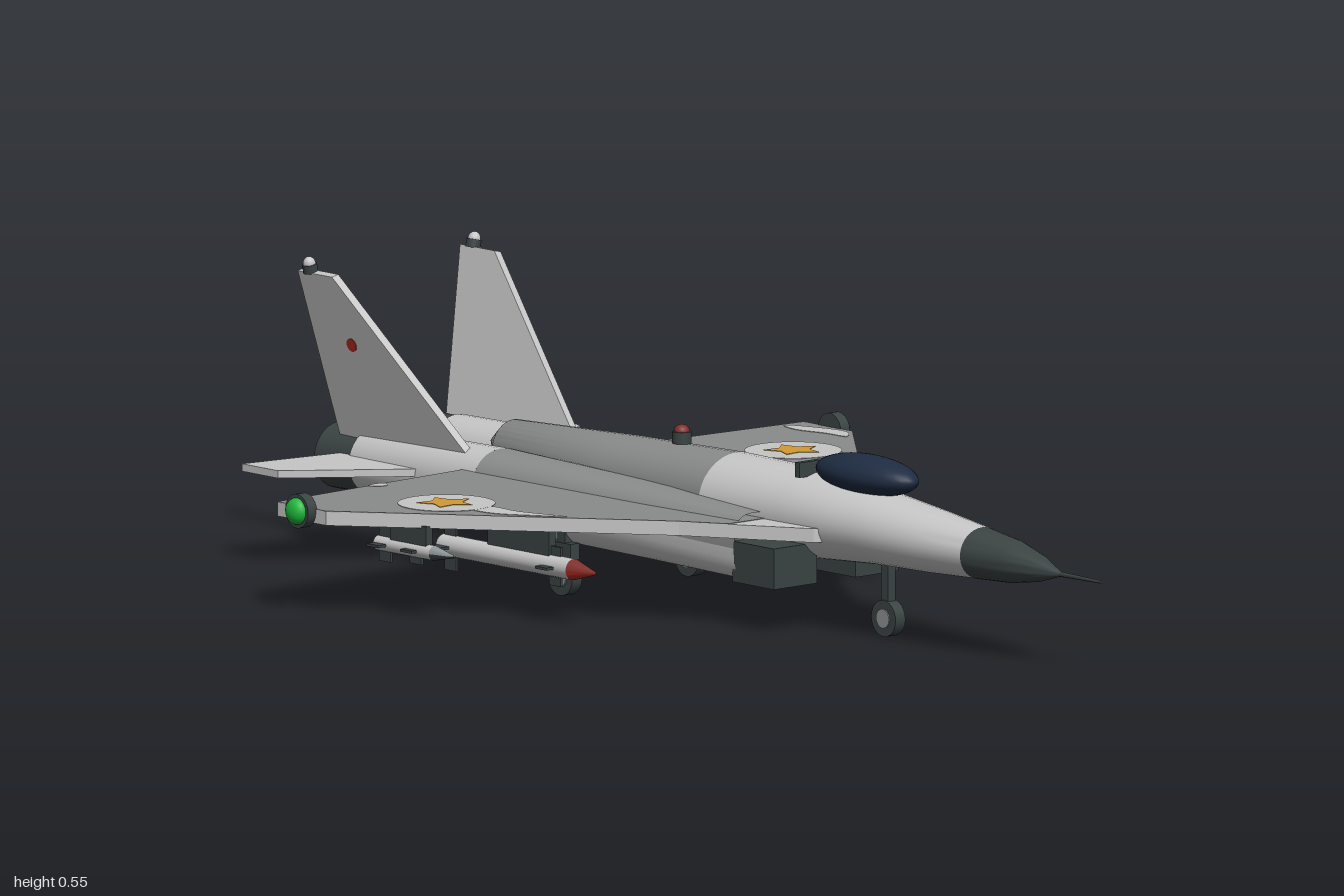
import * as THREE from 'three';
import { toCreasedNormals } from 'three/addons/utils/BufferGeometryUtils.js';

const mat = (name, color) => new THREE.MeshStandardMaterial({ name, color });

export function createModel() {
  const light = mat('lightGrey', 0xc6c6c6), grey = mat('camoGrey', 0x8a8c8b);
  const dark = mat('charcoal', 0x3b4343), navy = mat('canopyBlue', 0x1e2c42);
  const red = mat('red', 0xb52a22), green = mat('green', 0x1fb83c);
  const gold = mat('gold', 0xd29a34), steel = mat('steel', 0x8e9496);
  const maroon = mat('darkRed', 0x80302c);
  const root = new THREE.Group();
  root.name = 'jet';

  const add = (name, geo, material, x = 0, y = 0, z = 0, parent = root) => {
    const m = new THREE.Mesh(geo, material);
    m.name = name;
    m.position.set(x, y, z);
    parent.add(m);
    return m;
  };
  const box = (x, y, z) => new THREE.BoxGeometry(x, y, z);
  const rod = (axis, rBack, rFront, len, n = 20) => {
    const g = new THREE.CylinderGeometry(rFront, rBack, len, n);
    return axis === 'x' ? g.rotateZ(-Math.PI / 2) : axis === 'z' ? g.rotateX(Math.PI / 2) : g;
  };
  const dome = (r, h) => new THREE.SphereGeometry(r, 20, 8, 0, Math.PI * 2, 0, Math.PI / 2).scale(1, h / r, 1);

  // Skin lofted along x through sections [x, y, halfHeight, halfWidth, squareness exponent]
  const loft = (secs, t0 = 0, t1 = Math.PI * 2, n = 32) => {
    const pos = [], idx = [];
    const pw = (v, e) => Math.sign(v) * Math.abs(v) ** e;
    secs.forEach(([x, y, ry, rz, e = 1], i) => {
      for (let j = 0; j <= n; j++) {
        const t = t0 + (t1 - t0) * j / n;
        pos.push(x, y + ry * pw(Math.sin(t), e), rz * pw(Math.cos(t), e));
        if (i && j) {
          const b = i * (n + 1) + j, a = b - n - 1;
          idx.push(a - 1, b - 1, b, a - 1, b, a);
        }
      }
    });
    const g = new THREE.BufferGeometry();
    g.setAttribute('position', new THREE.Float32BufferAttribute(pos, 3));
    g.setIndex(idx);
    return toCreasedNormals(g, 0.6);
  };

  // Flat panel lying in the xz plane, with its upper face at y = 0
  const polygon = (pts) => new THREE.Shape(pts.map(([x, y]) => new THREE.Vector2(x, y)));
  const plate = (shape, t) => new THREE.ExtrudeGeometry(shape, { depth: t, bevelEnabled: false, curveSegments: 24 })
    .rotateX(Math.PI / 2);
  const blob = (pts) => new THREE.Shape(
    new THREE.CatmullRomCurve3(pts.map(([x, y]) => new THREE.Vector3(x, y, 0)), true)
      .getPoints(30).map((p) => new THREE.Vector2(p.x, p.y)));

  // Fuselage, nose and pitot
  add('rearFuselage', loft([[-0.69, 0.225, 0.003, 0.003], [-0.63, 0.222, 0.05, 0.052], [-0.3, 0.21, 0.075, 0.083],
    [-0.01, 0.207, 0.085, 0.095]]), grey);
  add('frontFuselage', loft([[-0.01, 0.207, 0.085, 0.095], [0.2, 0.207, 0.083, 0.093], [0.4, 0.205, 0.068, 0.083],
    [0.55, 0.198, 0.058, 0.069], [0.67, 0.193, 0.048, 0.054]]), light);
  add('noseCone', loft([[0.67, 0.193, 0.048, 0.054], [0.76, 0.189, 0.04, 0.042], [0.83, 0.185, 0.025, 0.026],
    [0.89, 0.182, 0.004, 0.004]]), dark);
  add('pitotTube', rod('x', 0.005, 0.003, 0.12, 8), dark, 0.94, 0.182, 0);

  // Cockpit
  add('canopy', new THREE.SphereGeometry(1, 32, 20).scale(0.13, 0.037, 0.054), navy, 0.352, 0.298, 0);
  add('canopyFrame', box(0.012, 0.028, 0.11), dark, 0.22, 0.295, 0);

  // Spine beacon
  add('beaconBase', rod('y', 0.018, 0.018, 0.022), dark, -0.163, 0.3, 0);
  add('beacon', dome(0.015, 0.013), maroon, -0.163, 0.311, 0);

  // Markings painted on the upper wing
  const star = polygon(Array.from({ length: 10 }, (_, i) => {
    const r = i % 2 ? 0.03 : 0.055, a = i * Math.PI / 5 - Math.PI / 2;
    return [r * Math.cos(a), r * Math.sin(a)];
  }));
  const disc = new THREE.Shape().absarc(0, 0, 0.09, 0, Math.PI * 2);
  const wingTop = 0.203;

  const nacelle = [[-0.9, 0.172, 0.063, 0.066], [-0.55, 0.168, 0.073, 0.073, 0.9], [-0.1, 0.16, 0.068, 0.07, 0.8],
    [0.16, 0.152, 0.062, 0.057, 0.6]];

  for (const s of [1, -1]) {
    const side = new THREE.Group();
    side.name = s > 0 ? 'leftSide' : 'rightSide';
    root.add(side);
    const put = (name, geo, m, x, y, z) => add(name, geo, m, x, y, s * z, side);
    const mirror = (pts) => pts.map(([x, z]) => [x, s * z]);

    // Engine nacelle: pale tail and belly, grey upper skin
    const split = s > 0 ? -0.55 : -0.46;
    const mid = [split, 0.167, 0.0725, 0.073, 0.9];
    const fore = [mid, ...nacelle.slice(2)];
    put('nacelleTail', loft([nacelle[0], mid]), light, 0, 0, 0.1);
    put('nacelleTop', loft(fore, 0, Math.PI, 20), grey, 0, 0, 0.1);
    put('nacelleBelly', loft(fore, Math.PI, Math.PI * 2, 20), light, 0, 0, 0.1);
    put('nozzle', toCreasedNormals(new THREE.LatheGeometry(
      [[0, 0.05], [0.045, 0.05], [0.054, 0], [0.062, 0], [0.06, 0.1], [0, 0.1]].map(([r, y]) => new THREE.Vector2(r, y)), 28)
      .rotateZ(-Math.PI / 2), 0.6), dark, -1, 0.17, 0.1);
    put('intake', box(0.115, 0.076, 0.106), dark, 0.208, 0.127, 0.1);

    // Delta wing: pale body and strake, with a thin grey upper skin
    put('wing', plate(polygon(mirror([[-0.595, 0.05], [-0.555, 0.645], [-0.42, 0.645], [0.09, 0.23], [0.2, 0.163],
      [0.31, 0.095], [0.33, 0.05]])), 0.026), light, 0, wingTop - 0.001, 0);
    put('wingSkin', plate(polygon(mirror([[-0.595, 0.05], [-0.555, 0.645], [-0.42, 0.645], [0.09, 0.23],
      [0.17, 0.181], [0.17, 0.05]])), 0.002), grey, 0, wingTop, 0);
    put('roundel', plate(disc, 0.001), light, -0.335, wingTop + 0.0012, 0.425);
    put('star', plate(star, 0.001), gold, -0.335, wingTop + 0.0026, 0.425);
    const patches = s > 0
      ? [[[-0.26, 0.39], [-0.18, 0.385], [-0.08, 0.355], [-0.13, 0.395], [-0.2, 0.435], [-0.27, 0.43]],
        [[-0.572, 0.37], [-0.55, 0.38], [-0.55, 0.4], [-0.57, 0.41]]]
      : [[[-0.585, 0.15], [-0.46, 0.15], [-0.45, 0.23], [-0.5, 0.245], [-0.583, 0.235]],
        [[-0.548, 0.59], [-0.5, 0.575], [-0.43, 0.59], [-0.38, 0.595], [-0.42, 0.63], [-0.5, 0.615]]];
    for (const p of patches) put('camoPatch', plate(blob(mirror(p)), 0.001), light, 0, wingTop + 0.001, 0);

    // Wingtip light
    put('tipLightBase', rod('z', 0.032, 0.032, 0.022), dark, -0.48, 0.197, 0.653);
    put('tipLight', dome(0.025, 0.018).rotateX(s * Math.PI / 2), s > 0 ? green : red, -0.48, 0.197, 0.664);

    // Tailplane
    put('tailplane', plate(polygon(mirror([[-0.925, 0.1], [-0.965, 0.37], [-0.865, 0.37], [-0.66, 0.1]])), 0.014),
      light, 0, 0.188, 0);

    // Canted fin, with a painted dot on the outer face
    const fin = new THREE.Group();
    fin.name = 'finAssembly';
    fin.position.set(0, 0.21, s * 0.128);
    fin.rotation.x = s * 0.22;
    side.add(fin);
    add('fin', new THREE.ExtrudeGeometry(polygon([[-0.955, 0], [-0.995, 0.325], [-0.9, 0.325], [-0.585, 0]]),
      { depth: 0.016, bevelEnabled: false }), light, 0, 0, -0.008, fin);
    add('finDot', rod('z', 0.013, 0.013, 0.002), red, -0.877, 0.195, s * 0.0082, fin);
    add('finLightBase', rod('y', 0.014, 0.014, 0.016), dark, -0.968, 0.331, 0, fin);
    add('finLight', dome(0.012, 0.014), light, -0.968, 0.339, 0, fin);

    // Underwing missiles: [z, y, tail x, nose start x, tip x, radius, fin span, nose colours, pylon from x, to x]
    for (const [z, y, x0, x1, x2, r, span, noseTop, noseBelow, p0, p1] of [
      [0.365, 0.11, -0.41, -0.05, 0.013, 0.02, 0.092, maroon, red, -0.28, -0.11],
      [0.525, 0.132, -0.41, -0.255, -0.2, 0.014, 0.066, steel, dark, -0.37, -0.27]]) {
      put('missileBody', rod('x', r, r, x1 - x0), light, (x0 + x1) / 2, y, z);
      const cone = [[x1, y, r, r], [x2, y, 0.002, 0.002]];
      put('missileNoseTop', loft(cone, 0, Math.PI, 10), noseTop, 0, 0, z);
      put('missileNoseBelow', loft(cone, Math.PI, Math.PI * 2, 10), noseBelow, 0, 0, z);
      const h = 0.18 - y;
      put('pylon', box(p1 - p0, h, 0.016), dark, (p0 + p1) / 2, y + h / 2, z);
      for (const fx of [x0 + 0.02, x1 - 0.05]) {
        const w = fx < x0 + 0.05 ? span : span * 0.8;
        put('missileFin', box(0.032, w, 0.005), dark, fx, y, z);
        put('missileFin', box(0.032, 0.005, w), dark, fx, y, z);
      }
    }
  }

  // Landing gear
  for (const [name, x, z, top] of [['noseGear', 0.41, 0, 0.15], ['leftGear', -0.312, 0.155, 0.13],
    ['rightGear', -0.312, -0.155, 0.13]]) {
    const gear = new THREE.Group();
    gear.name = name;
    gear.position.set(x, 0, z);
    root.add(gear);
    add('tyre', rod('z', 0.034, 0.034, 0.024, 24), dark, 0, 0.038, 0, gear);
    add('hub', rod('z', 0.018, 0.018, 0.029, 16), steel, 0, 0.038, 0, gear);
    add('strut', box(0.02, top - 0.05, 0.018), dark, 0, (top + 0.05) / 2, 0, gear);
    if (z) add('gearDoor', box(0.056, 0.03, 0.022), dark, 0, 0.088, 0, gear);
  }
  return root;
}
